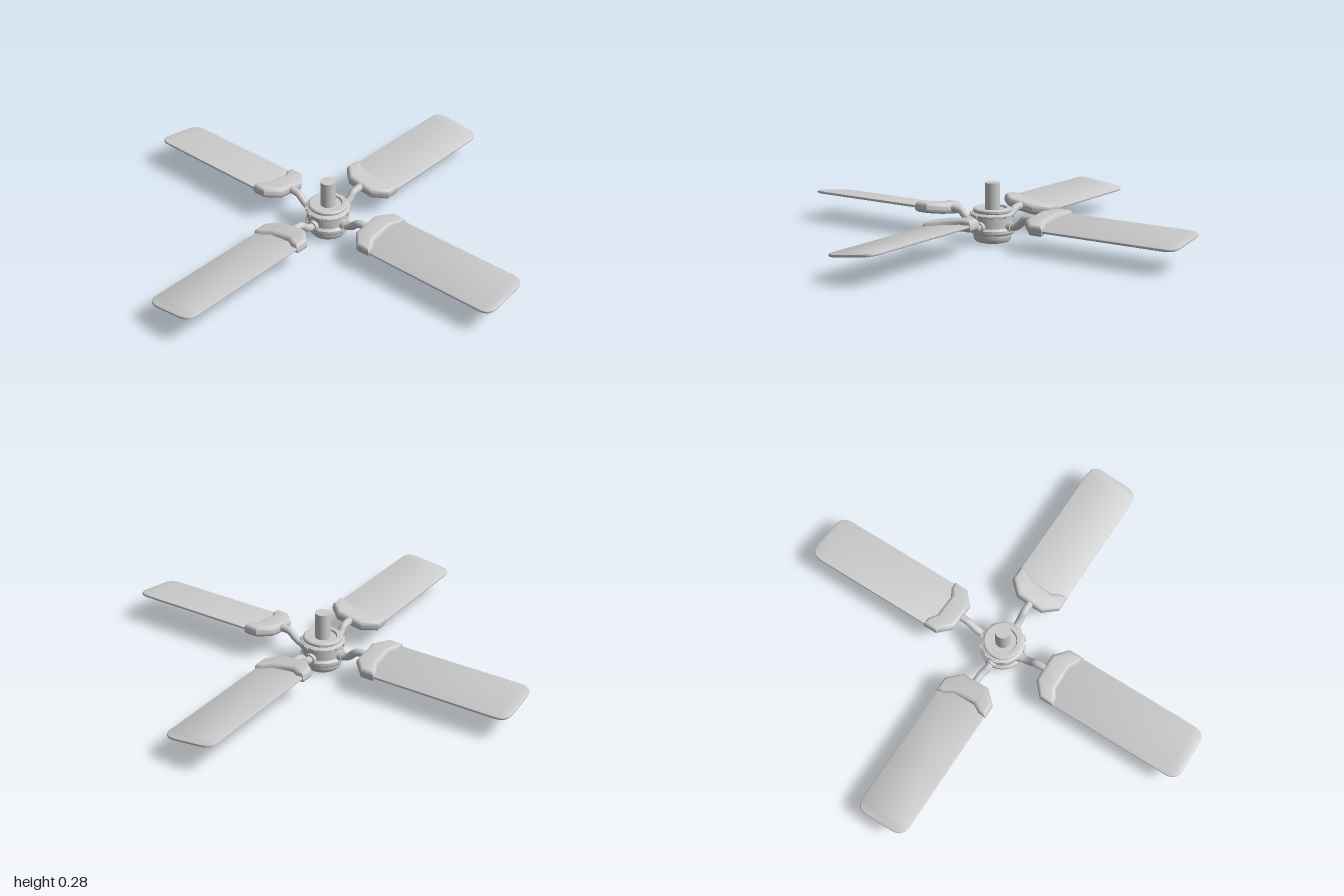
import * as THREE from 'three';
import { toCreasedNormals } from 'three/addons/utils/BufferGeometryUtils.js';

const material = new THREE.MeshStandardMaterial({ color: 0xcccccc, side: THREE.DoubleSide });

function add(parent, geometry, name) {
  const mesh = new THREE.Mesh(geometry, material);
  mesh.name = name;
  parent.add(mesh);
  return mesh;
}

function lathe(points) {
  const geometry = new THREE.LatheGeometry(points.map(([r, y]) => new THREE.Vector2(r, y)), 40);
  return toCreasedNormals(geometry, 0.6);
}

// Flat plate lying in the xz plane, centred on y = 0, with rounded edges
function plate(shape, thickness, bevelHeight, bevelSize, segments) {
  const depth = thickness - 2 * bevelHeight;
  const geometry = new THREE.ExtrudeGeometry(shape, {
    depth, bevelThickness: bevelHeight, bevelSize, bevelOffset: -bevelSize,
    bevelSegments: segments, curveSegments: 8,
  });
  geometry.translate(0, 0, -depth / 2).rotateX(Math.PI / 2);
  return toCreasedNormals(geometry, 0.75);
}

function bladeShape() {
  const w = 0.128, r = 0.06, start = 0.29, end = 1;
  const s = new THREE.Shape();
  s.moveTo(-w, start);
  s.lineTo(w, start);
  s.lineTo(w, end - r);
  s.quadraticCurveTo(w, end, w - r, end);
  s.lineTo(r - w, end);
  s.quadraticCurveTo(-w, end, -w, end - r);
  s.closePath();
  return s;
}

// C-shaped clamp outline, open toward the blade tip
function clampShape() {
  const half = [[0.068, 0.226], [0.131, 0.284], [0.131, 0.352], [0.095, 0.349], [0.058, 0.326]];
  const mirrored = half.map(([x, z]) => [-x, z]).reverse();
  return new THREE.Shape([...half, ...mirrored].map(([x, z]) => new THREE.Vector2(x, z)));
}

export function createModel() {
  const model = new THREE.Group();
  model.name = 'ceilingFan';

  // Motor hub: rounded bottom cap, rim, drum and top flange
  const hub = new THREE.Group();
  hub.name = 'hub';
  model.add(hub);
  add(hub, lathe([[0, 0], [0.065, 0], [0.078, 0.004], [0.086, 0.014], [0.088, 0.03], [0.088, 0.042]]), 'bottomCap');
  add(hub, lathe([[0.08, 0.04], [0.098, 0.042], [0.105, 0.05], [0.105, 0.064], [0.098, 0.07],
    [0.094, 0.074], [0.094, 0.12], [0.102, 0.124], [0.102, 0.132], [0.094, 0.138], [0.083, 0.14]]), 'motorDrum');
  add(hub, lathe([[0.083, 0.138], [0.09, 0.144], [0.09, 0.154], [0.084, 0.159], [0.066, 0.159],
    [0.062, 0.15], [0, 0.15]]), 'topFlange');

  // Low ribs around the drum
  for (let i = 0; i < 12; i++) {
    const angle = (i + 0.5) * Math.PI / 6;
    const rib = add(hub, new THREE.BoxGeometry(0.024, 0.012, 0.012), 'drumRib');
    rib.position.set(Math.sin(angle) * 0.1, 0.128, Math.cos(angle) * 0.1);
    rib.rotation.y = angle;
  }

  // Hanging rod
  add(model, new THREE.CylinderGeometry(0.035, 0.035, 0.13, 32), 'downRod').position.y = 0.21;

  // Four pitched blades, each on a bent arm with a clamp
  const armPath = new THREE.CatmullRomCurve3([
    [0.08, 0.08], [0.125, 0.082], [0.155, 0.1], [0.18, 0.122], [0.21, 0.128], [0.25, 0.127],
  ].map(([z, y]) => new THREE.Vector3(0, y, z)));
  const armGeometry = new THREE.TubeGeometry(armPath, 24, 0.018, 14);
  const socketGeometry = new THREE.CylinderGeometry(0.025, 0.025, 0.03, 20).rotateX(Math.PI / 2);
  const bladeGeometry = plate(bladeShape(), 0.014, 0.005, 0.007, 3);
  const clampGeometry = plate(clampShape(), 0.052, 0.021, 0.017, 5);

  for (let i = 0; i < 4; i++) {
    const assembly = new THREE.Group();
    assembly.name = 'bladeAssembly';
    assembly.rotation.y = i * Math.PI / 2;
    model.add(assembly);
    add(assembly, armGeometry, 'arm');
    add(assembly, socketGeometry, 'armSocket').position.set(0, 0.08, 0.095);

    const pitched = new THREE.Group();
    pitched.name = 'pitchedBlade';
    pitched.position.y = 0.126;
    pitched.rotation.z = THREE.MathUtils.degToRad(8);
    assembly.add(pitched);
    add(pitched, bladeGeometry, 'blade');
    add(pitched, clampGeometry, 'bladeClamp');
  }
  return model;
}
